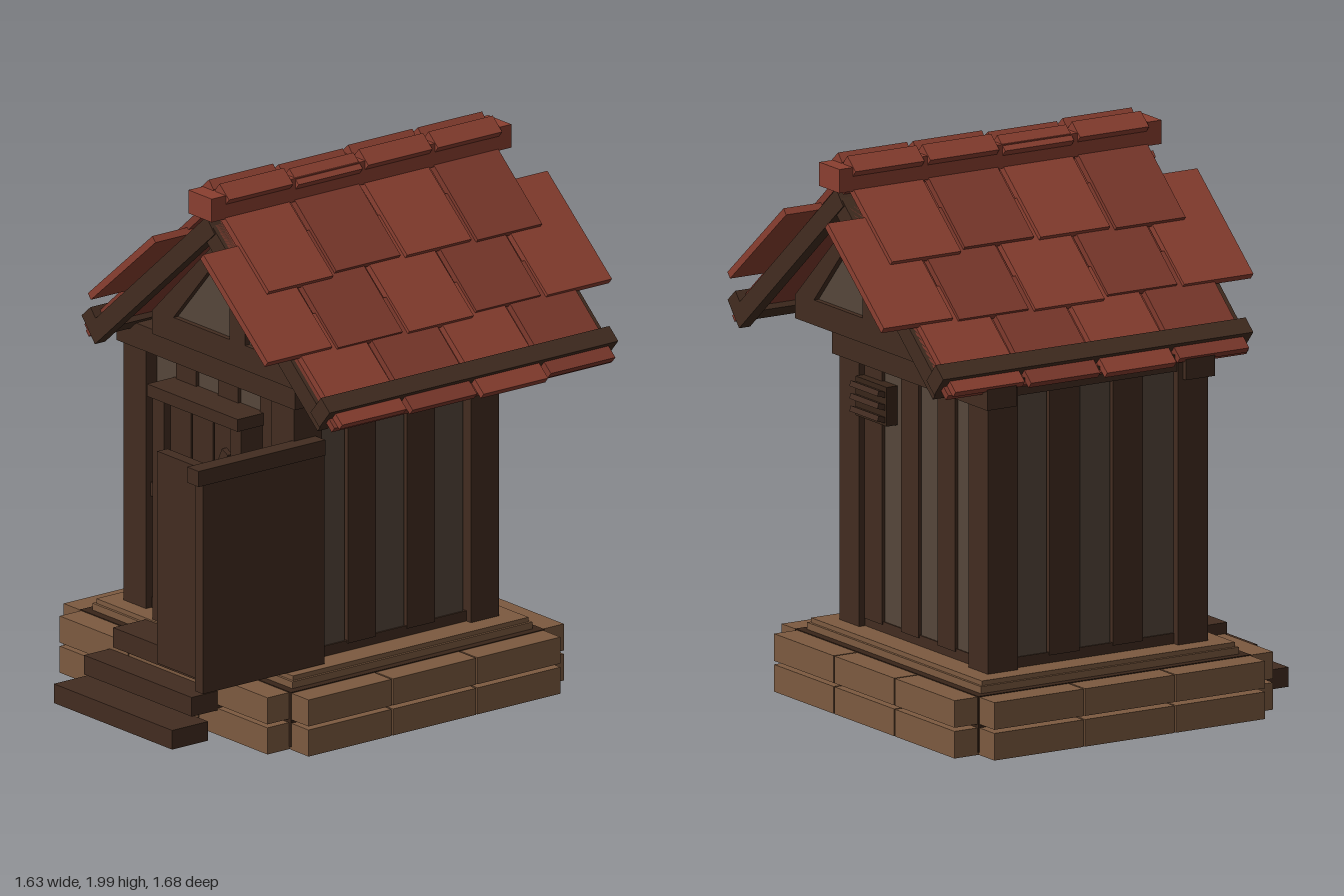
import * as THREE from 'three';

const mat = (color) => new THREE.MeshStandardMaterial({ color, flatShading: true });
const WOOD = mat(0x422c20), PLANK = mat(0x55463a), DARK = mat(0x382519);
const STONE = mat(0x7c5a40), TILE = mat(0x8a3f30), TILE2 = mat(0x7e392c);

// Box given by its min/max extents on each axis
function box(parent, name, m, x0, x1, y0, y1, z0, z1) {
  const mesh = new THREE.Mesh(new THREE.BoxGeometry(x1 - x0, y1 - y0, z1 - z0), m);
  mesh.position.set((x0 + x1) / 2, (y0 + y1) / 2, (z0 + z1) / 2);
  mesh.name = name;
  parent.add(mesh);
  return mesh;
}

function part(parent, name) {
  const g = new THREE.Group();
  g.name = name;
  parent.add(g);
  return g;
}

// Flat polygon given as [x, y] points, extruded along z
function slab(parent, name, m, pts, z0, z1, holes = []) {
  const shape = new THREE.Shape(pts.map((p) => new THREE.Vector2(...p)));
  holes.forEach((h) => shape.holes.push(new THREE.Path(h.map((p) => new THREE.Vector2(...p)))));
  const mesh = new THREE.Mesh(new THREE.ExtrudeGeometry(shape, { depth: z1 - z0, bevelEnabled: false }), m);
  mesh.position.z = z0;
  mesh.name = name;
  parent.add(mesh);
}

function buildFoundation(root) {
  const g = part(root, 'foundation');
  box(g, 'foundationCore', DARK, -0.715, 0.46, 0.02, 0.22, -0.645, 0.48);
  for (const y of [0.01, 0.12]) {
    for (let i = 0; i < 3; i++) {
      const x = -0.71 + i * 0.388, z = -0.64 + i * 0.375;
      for (const z0 of [-0.74, 0.475]) box(g, 'stoneBlock', STONE, x, x + 0.382, y, y + 0.097, z0, z0 + 0.1);
      for (const x0 of [-0.81, 0.455]) box(g, 'stoneBlock', STONE, x0, x0 + 0.1, y, y + 0.097, z, z + 0.368);
    }
  }
  // Tan rim around the underside
  for (const x0 of [-0.71, 0.425]) box(g, 'bottomRim', STONE, x0, x0 + 0.03, 0.012, 0.04, -0.64, 0.475);
  for (const z0 of [-0.64, 0.445]) box(g, 'bottomRim', STONE, -0.68, 0.425, 0.012, 0.04, z0, z0 + 0.03);
  box(g, 'floorSlab', STONE, -0.685, 0.43, 0.22, 0.245, -0.615, 0.45);
  box(g, 'floorSlabTop', STONE, -0.675, 0.42, 0.245, 0.262, -0.605, 0.44);
}

function buildSteps(root) {
  const g = part(root, 'steps');
  box(g, 'lowerStep', WOOD, -0.46, 0.2, 0.01, 0.08, 0.64, 0.8);
  box(g, 'middleStep', WOOD, -0.43, 0.17, 0.1, 0.17, 0.545, 0.69);
  box(g, 'upperStep', WOOD, -0.4, 0.14, 0.185, 0.257, 0.43, 0.585);
}

function buildWalls(root) {
  const g = part(root, 'walls');
  for (const x of [-0.605, 0.22]) {
    for (const z of [-0.535, 0.25]) box(g, 'cornerPost', WOOD, x, x + 0.125, 0.26, 1.3, z, z + 0.125);
  }
  // Alternating boards
  for (let i = 0; i < 6; i++) {
    const x = -0.48 + i * 0.117, o = i % 2 ? 0.01 : 0;
    const m = i % 2 ? WOOD : PLANK;
    box(g, 'frontBoard', m, x, x + 0.112, 0.29, 1.22, 0.3, 0.325 + o);
    box(g, 'backBoard', m, x, x + 0.112, 0.29, 1.22, -0.505 - o, -0.48);
  }
  for (let i = 0; i < 5; i++) {
    const z = 0.25 - i * 0.131, o = i % 2 ? 0.01 : 0;
    const m = i % 2 ? WOOD : PLANK;
    box(g, 'leftBoard', m, 0.29, 0.315 + o, 0.29, 1.24, z - 0.124, z);
    box(g, 'rightBoard', m, -0.575 - o, -0.55, 0.29, 1.24, z - 0.124, z);
  }
  // Backing behind the gaps, sills and top plates
  box(g, 'innerLining', DARK, -0.55, 0.29, 0.26, 1.25, -0.48, 0.3);
  for (const z of [-0.51, 0.28]) box(g, 'sill', WOOD, -0.5, 0.24, 0.26, 0.3, z, z + 0.07);
  for (const x of [-0.58, 0.25]) box(g, 'sill', WOOD, x, x + 0.07, 0.26, 0.3, -0.45, 0.3);
  box(g, 'frontTopPlate', WOOD, -0.625, 0.37, 1.21, 1.3, 0.27, 0.39);
  box(g, 'backTopPlate', WOOD, -0.625, 0.37, 1.21, 1.3, -0.55, -0.43);
  for (const x of [-0.6, 0.23]) box(g, 'sideTopPlate', WOOD, x, x + 0.11, 1.24, 1.3, -0.43, 0.27);
  box(g, 'middleRail', WOOD, -0.48, -0.37, 0.67, 0.72, 0.3, 0.355);
}

function buildDoor(root) {
  const g = part(root, 'door');
  box(g, 'doorJamb', WOOD, -0.375, -0.31, 0.26, 1.08, 0.32, 0.43);
  box(g, 'doorJamb', WOOD, 0.06, 0.12, 0.26, 1.08, 0.32, 0.43);
  box(g, 'doorLintel', WOOD, -0.38, 0.125, 1.08, 1.125, 0.32, 0.45);
  box(g, 'doorLeaf', DARK, -0.31, 0.06, 0.265, 1.08, 0.33, 0.385);
  for (let i = 0; i < 3; i++) {
    const x = -0.305 + i * 0.122;
    box(g, 'doorPlank', WOOD, x, x + 0.114, 0.28, 1.06, 0.385, 0.405);
  }
  const brace = box(g, 'doorBrace', WOOD, -0.345, 0.345, -0.018, 0.018, 0.405, 0.425);
  brace.position.set(-0.13, 0.665, 0.415);
  brace.rotation.z = Math.atan2(0.61, 0.3);
  box(g, 'doorHandle', DARK, 0.02, 0.045, 0.66, 0.76, 0.405, 0.44);
}

function buildScreen(root) {
  const g = part(root, 'privacyScreen');
  box(g, 'screenFront', WOOD, 0.035, 0.345, 0.27, 1.045, 0.69, 0.735);
  box(g, 'screenSide', WOOD, 0.345, 0.39, 0.265, 1.03, 0.275, 0.815);
  box(g, 'screenCap', WOOD, 0.335, 0.4, 1.03, 1.087, 0.28, 0.842);
}

function buildVent(root) {
  const g = part(root, 'vent');
  box(g, 'ventBox', DARK, 0.02, 0.22, 1.02, 1.16, -0.55, -0.5);
  for (let i = 0; i < 3; i++) {
    const slat = box(g, 'ventSlat', WOOD, 0.03, 0.21, 1.035 + i * 0.045, 1.055 + i * 0.045, -0.58, -0.545);
    slat.rotation.x = 0.3;
  }
}

const RIDGE_X = 0.085, PITCH = Math.atan(0.86);

// Timber triangle with a king post and two inset panels
function buildGable(root, name, z0, z1) {
  const g = part(root, name);
  const at = (pts, s) => pts.map(([x, y]) => [RIDGE_X + s * x, y]);
  const hole = [[0.043, 1.39], [0.355, 1.39], [0.043, 1.74]];
  slab(g, 'gableFrame', WOOD, [[-0.39, 1.3], [0.56, 1.3], [0.56, 1.385], [RIDGE_X, 1.84], [-0.39, 1.385]],
    z0, z1, [at(hole, 1), at(hole, -1)]);
  slab(g, 'gablePanel', PLANK, [[-0.36, 1.32], [0.53, 1.32], [0.53, 1.385], [RIDGE_X, 1.81], [-0.36, 1.385]],
    z0 + 0.02, z1 - 0.02);
}

// One roof slope: local +x runs down the slope, +y is its outward normal
function buildSlope(root, name, turn) {
  const pivot = part(root, name);
  pivot.position.set(RIDGE_X, 1.916, -0.08);
  pivot.rotation.y = turn;
  const g = part(pivot, 'slope');
  g.rotation.z = -PITCH;
  box(g, 'roofDeck', TILE2, 0, 0.94, -0.055, -0.03, -0.62, 0.62);
  for (const z of [-0.64, 0.59]) box(g, 'bargeBoard', WOOD, 0.02, 0.9, -0.1, -0.03, z, z + 0.045);
  box(g, 'eaveBar', WOOD, 0.835, 0.9, -0.075, 0.014, -0.64, 0.64);
  // Rows of overlapping tiles; the middle row is shifted by half a tile
  const rows = [[0.5, 0.95, -0.03, 4], [0.18, 0.65, -0.02, 5], [0.04, 0.375, -0.006, 4]];
  rows.forEach(([s0, s1, n, count], r) => {
    for (let i = 0; i < count; i++) {
      const z = (i - (count - 1) / 2) * 0.309, j = ((i * 2 + r) % 3) * 0.008;
      const t = box(g, 'roofTile', (i + r) % 2 ? TILE : TILE2, s0 + j, s1 + j, n, n + 0.026, z - 0.143, z + 0.143);
      t.rotation.z = 0.012 * ((i + r) % 2);
    }
  });
}

function buildRidge(root) {
  const g = part(root, 'ridge');
  box(g, 'ridgeBeam', TILE, 0.02, 0.15, 1.88, 1.965, -0.745, 0.585);
  for (let i = 0; i < 4; i++) {
    const z = -0.69 + i * 0.309;
    const drop = i === 2 ? 0.008 : 0;
    for (const s of [-1, 1]) {
      const cap = box(g, 'ridgeCap', TILE, -0.035, 0.035, -0.02, 0.02, z, z + 0.285);
      cap.position.x = RIDGE_X + s * 0.043;
      cap.position.y = 1.961 - drop;
      cap.rotation.z = -s * PITCH;
    }
  }
}

export function createModel() {
  const root = new THREE.Group();
  root.name = 'gardenPrivy';
  buildFoundation(root);
  buildSteps(root);
  buildWalls(root);
  buildDoor(root);
  buildScreen(root);
  buildVent(root);
  buildGable(root, 'frontGable', 0.36, 0.42);
  buildGable(root, 'backGable', -0.58, -0.52);
  buildSlope(root, 'leftRoof', 0);
  buildSlope(root, 'rightRoof', Math.PI);
  buildRidge(root);
  return root;
}
